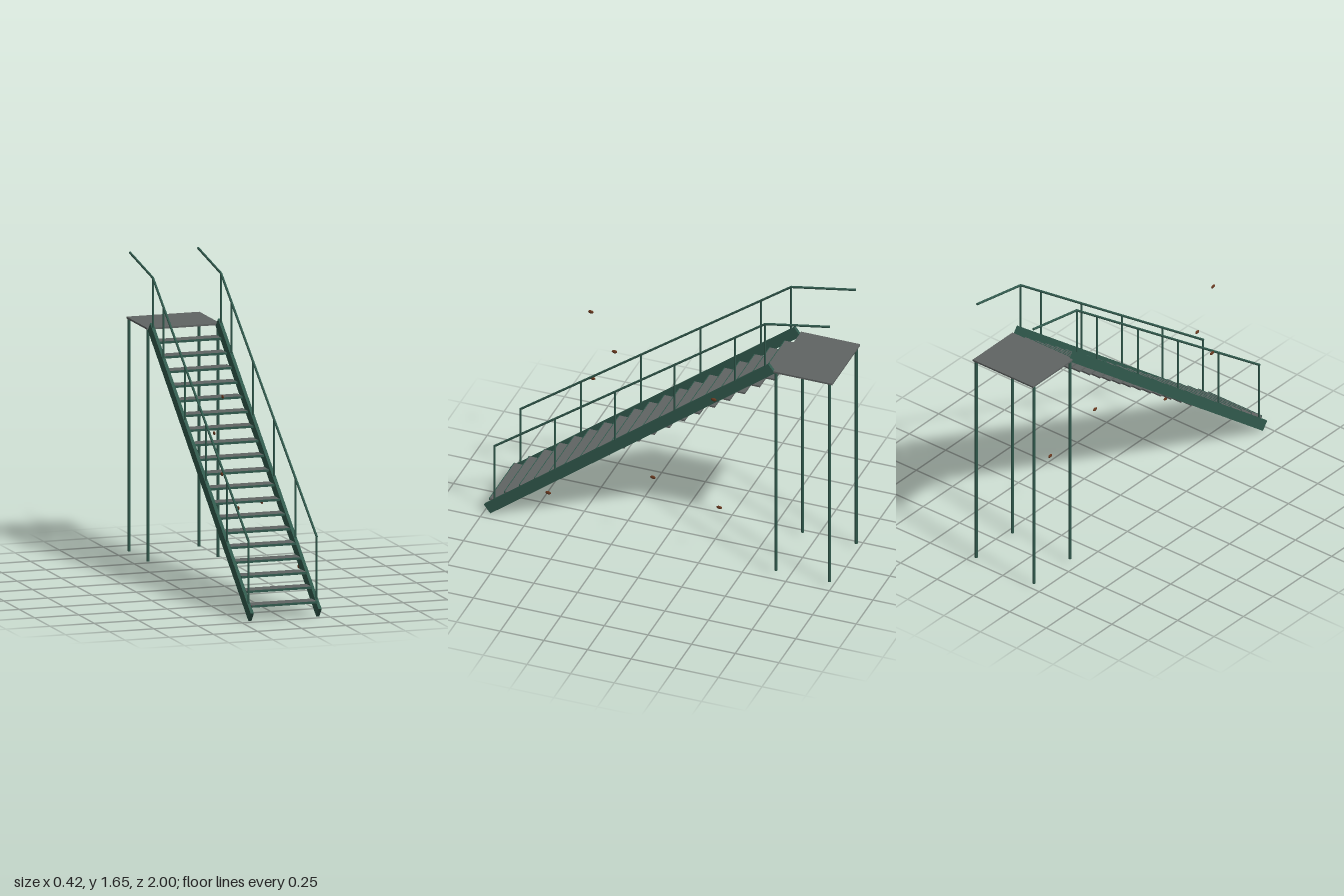
import * as THREE from 'three';

const green = new THREE.MeshStandardMaterial({ color: 0x315a4d });
const grey = new THREE.MeshStandardMaterial({ color: 0x606463 });
const brown = new THREE.MeshStandardMaterial({ color: 0x6b3a20 });

function add(parent, name, geometry, material, x, y, z) {
  const mesh = new THREE.Mesh(geometry, material);
  mesh.name = name;
  mesh.position.set(x, y, z);
  parent.add(mesh);
  return mesh;
}

// Round bar between two points
function bar(parent, name, a, b, radius) {
  const dir = b.clone().sub(a);
  const mesh = add(parent, name, new THREE.CylinderGeometry(radius, radius, dir.length(), 10), green, 0, 0, 0);
  mesh.position.copy(a).add(b).multiplyScalar(0.5);
  mesh.quaternion.setFromUnitVectors(new THREE.Vector3(0, 1, 0), dir.normalize());
  return mesh;
}

export function createModel() {
  const model = new THREE.Group();
  model.name = 'staircase';
  const v = (x, y, z) => new THREE.Vector3(x, y, z);

  // Centre line of the sloping side beams
  const bottom = { y: 0.03, z: 0.98 }, top = { y: 1.312, z: -0.65 };
  const rise = top.y - bottom.y, run = bottom.z - top.z;
  const beamY = z => bottom.y + (bottom.z - z) * rise / run;

  for (const side of [1, -1]) {
    const half = new THREE.Group();
    half.name = side > 0 ? 'leftSide' : 'rightSide';
    model.add(half);

    const beam = add(half, 'stringer', new THREE.BoxGeometry(0.018, 0.06, Math.hypot(rise, run)), green,
      side * 0.192, (bottom.y + top.y) / 2, (bottom.z + top.z) / 2);
    beam.rotation.x = Math.atan2(rise, run);

    // Handrail: sloping run, then a shallow run over the platform
    const x = side * 0.193;
    const rail = [v(x, 0.438, 0.94), v(x, 1.586, -0.61), v(x, 1.655, -0.98)];
    bar(half, 'handrail', rail[0], rail[1], 0.0065);
    bar(half, 'upperHandrail', rail[1], rail[2], 0.0065);
    for (const p of rail.slice(0, 2)) add(half, 'railJoint', new THREE.SphereGeometry(0.0065, 10, 8), green, p.x, p.y, p.z);

    // Handrail posts
    for (const z of [0.94, 0.595, 0.25, -0.092, -0.438, -0.61]) {
      const railY = 0.438 + (0.94 - z) * (1.586 - 0.438) / 1.55;
      bar(half, 'railPost', v(x, beamY(z), z), v(x, railY, z), 0.0055);
    }

    // Platform legs
    for (const z of [-0.674, -0.981]) bar(half, 'platformLeg', v(side * 0.198, 0.03, z), v(side * 0.198, 1.295, z), 0.0085);
  }

  // Treads with a green nosing
  for (let i = 0; i < 19; i++) {
    const y = 0.086 + i * 0.0639, front = 0.975 - i * 0.0861;
    add(model, 'tread', new THREE.BoxGeometry(0.37, 0.01, 0.084), grey, 0, y, front - 0.046);
    add(model, 'treadNosing', new THREE.BoxGeometry(0.37, 0.012, 0.004), green, 0, y, front - 0.002);
  }

  // Landing plate
  add(model, 'platform', new THREE.BoxGeometry(0.414, 0.01, 0.338), grey, 0, 1.299, -0.831);

  // Small flat discs beside the stairs: x, y, z
  const discs = [
    [0.2, 0.217, 0.63], [0.2, 0.458, 0.03], [0.2, 0.355, -0.35], [0.204, 1.04, -0.32],
    [-0.2, 1.15, 0.54], [-0.2, 0.927, 0.405], [-0.2, 0.727, 0.53],
  ];
  for (const [x, y, z] of discs) {
    const disc = add(model, 'disc', new THREE.SphereGeometry(1, 12, 8), brown, x, y, z);
    disc.scale.set(0.005, 0.01, 0.016);
  }
  return model;
}
